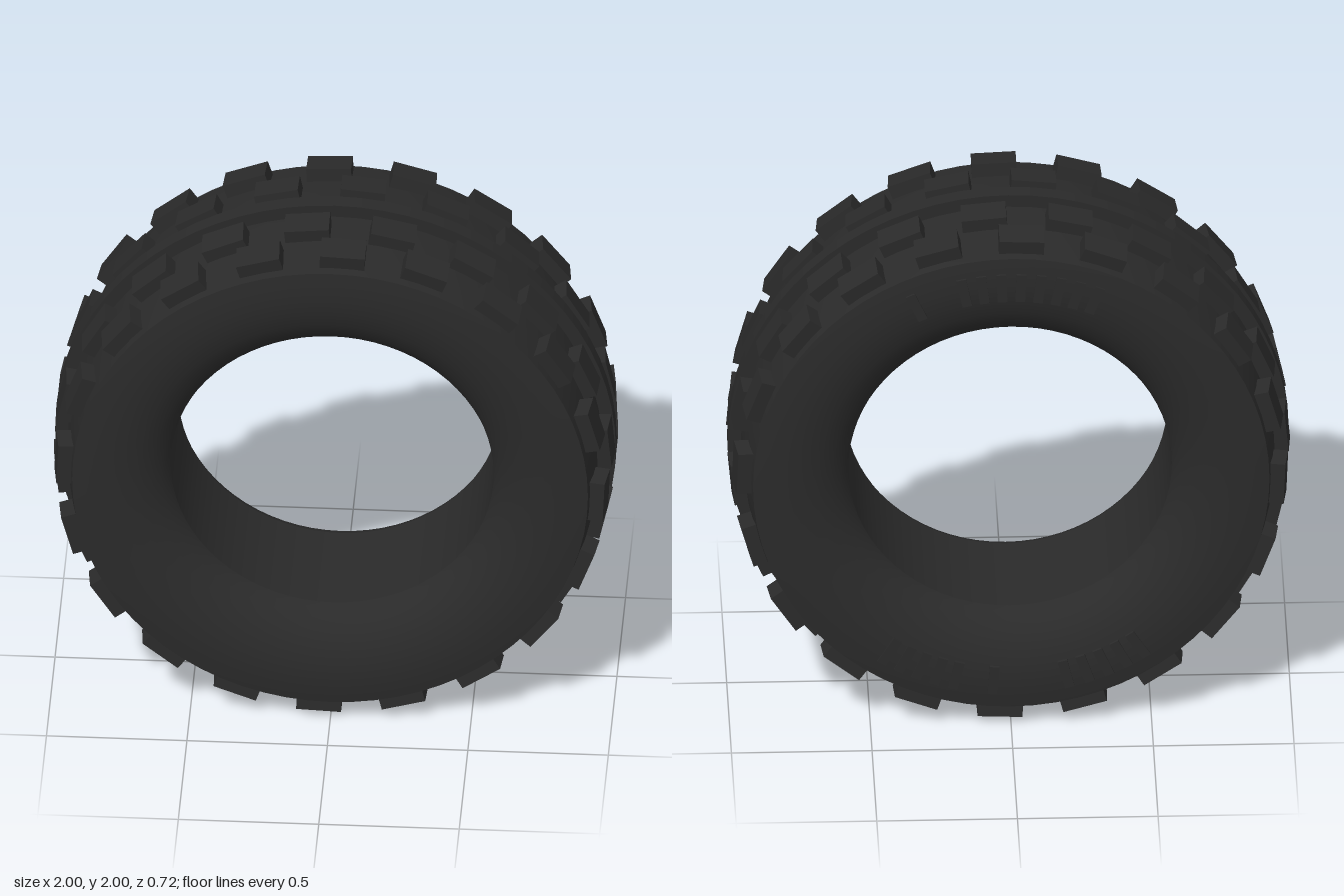
import * as THREE from 'three';

const rad = THREE.MathUtils.degToRad;
const rubber = new THREE.MeshStandardMaterial({ color: 0x2a2a2a });
rubber.name = 'black rubber';

// Surface of revolution around z; profile points are [radius, z]
function band(name, points) {
  const geo = new THREE.LatheGeometry(points.map(([r, z]) => new THREE.Vector2(r, z)), 72);
  geo.rotateX(Math.PI / 2);
  const mesh = new THREE.Mesh(geo, rubber);
  mesh.name = name;
  return mesh;
}

// Box placed on the wheel at an angle: radial, tangential and axial sizes
function lug(name, size, radius, z, degrees, tilt = 0) {
  const geo = new THREE.BoxGeometry(...size);
  geo.rotateY(tilt);
  geo.translate(radius, 0, z);
  geo.rotateZ(rad(degrees));
  const mesh = new THREE.Mesh(geo, rubber);
  mesh.name = name;
  return mesh;
}

export function createModel() {
  const model = new THREE.Group();
  model.name = 'tyre';
  const wheel = new THREE.Group();
  wheel.name = 'tyreBody';
  wheel.position.y = 1;
  model.add(wheel);

  // Carcass: slightly crowned tread, rounded sidewalls, straight bore
  wheel.add(band('treadSurface', [
    [0.918, -0.345], [0.934, -0.26], [0.946, -0.14], [0.951, -0.03],
    [0.951, 0.03], [0.946, 0.14], [0.934, 0.26], [0.918, 0.345],
  ]));
  const wall = [
    [0.918, 0.345], [0.87, 0.352], [0.81, 0.355], [0.75, 0.349], [0.69, 0.333],
    [0.64, 0.307], [0.605, 0.275], [0.583, 0.245], [0.575, 0.22],
  ];
  wheel.add(band('frontSidewall', wall));
  wheel.add(band('backSidewall', wall.map(([r, z]) => [r, -z]).reverse()));
  wheel.add(band('bore', [[0.575, 0.22], [0.575, -0.22]]));

  // Centre rib, with sharp edges
  wheel.add(band('ribBack', [[0.94, -0.03], [0.998, -0.03]]));
  wheel.add(band('ribTop', [[0.998, -0.03], [0.998, 0.03]]));
  wheel.add(band('ribFront', [[0.998, 0.03], [0.94, 0.03]]));

  // Four staggered rows of tread blocks: z centre, top radius, tilt, start angle
  const rows = [
    [0.265, 0.98, 0.13, -2.5],
    [0.122, 0.993, 0.08, 5.5],
    [-0.122, 0.993, -0.08, 12.7],
    [-0.265, 0.98, -0.13, 2.3],
  ];
  for (const [z, top, tilt, start] of rows) {
    for (let i = 0; i < 20; i++) {
      wheel.add(lug('treadBlock', [0.08, 0.16, 0.104], top - 0.04, z, start + i * 18, -tilt));
    }
  }

  // Raised bars on the back sidewall: first angle, step, count
  const bars = new THREE.Group();
  bars.name = 'sidewallBars';
  bars.rotation.y = Math.PI;
  const runs = [[114.7, 0, 1], [102, -4.8, 8], [237.5, 4.6, 5], [265.5, 0, 1], [284, 5, 5]];
  for (const [first, step, count] of runs) {
    for (let i = 0; i < count; i++) {
      bars.add(lug('sidewallBar', [0.11, 0.035, 0.03], 0.805, 0.345, first + i * step));
    }
  }
  wheel.add(bars);
  return model;
}
